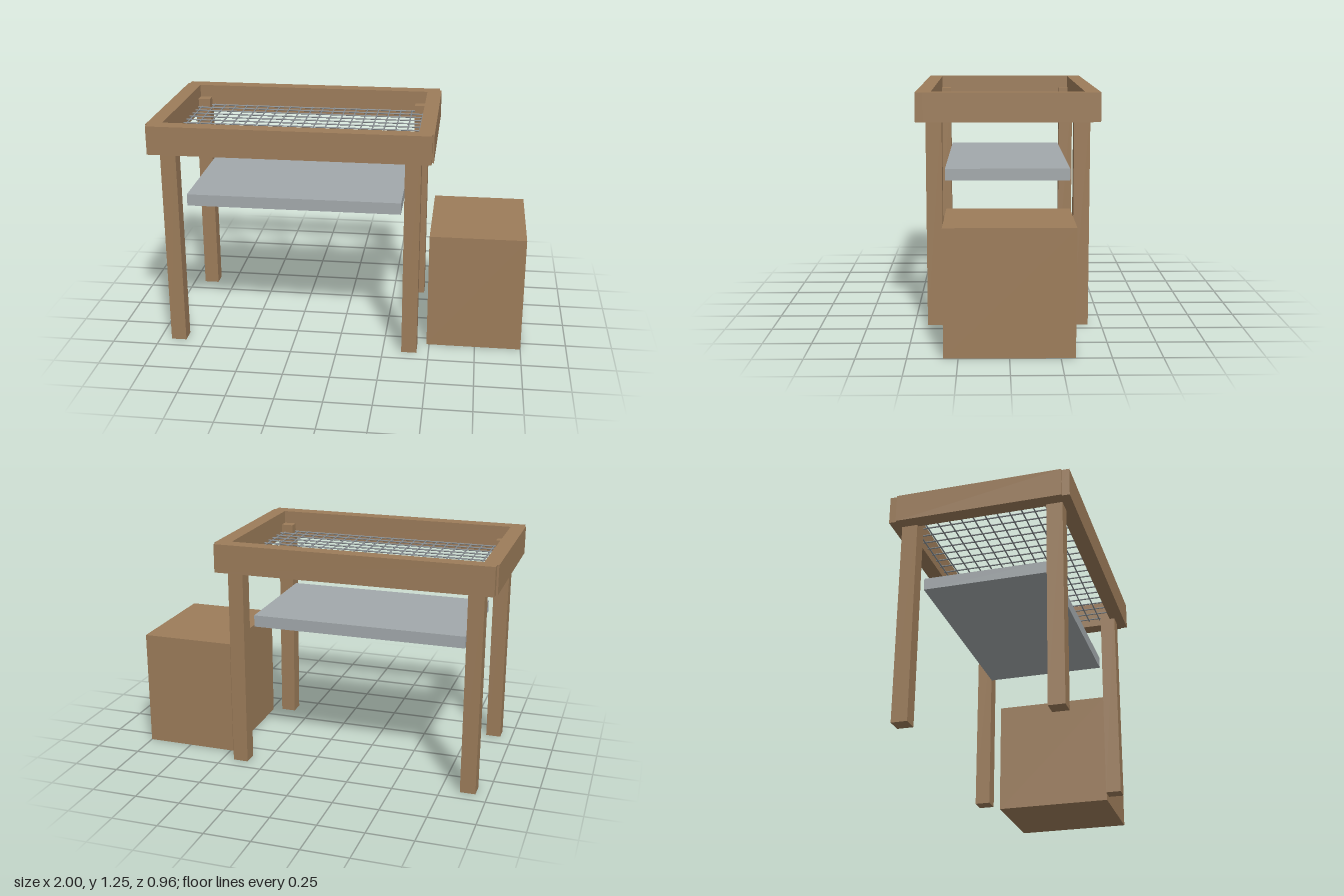
import * as THREE from 'three';

export function createModel() {
  const model = new THREE.Group();
  model.name = 'siftingTableWithStool';

  const material = (name, color) => {
    const m = new THREE.MeshStandardMaterial({ color });
    m.name = name;
    return m;
  };
  const wood = material('wood', 0x9c7c5a);
  const panelGrey = material('panelGrey', 0xa2a8ab);
  const wireGrey = material('wireGrey', 0x878d91);

  // Box given by its size, centre and parent
  const box = (name, mat, [w, h, d], [x, y, z], parent) => {
    const mesh = new THREE.Mesh(new THREE.BoxGeometry(w, h, d), mat);
    mesh.name = name;
    mesh.position.set(x, y, z);
    parent.add(mesh);
  };

  // Table, built around its own centre
  const table = new THREE.Group();
  table.name = 'table';
  table.position.x = -0.25;
  model.add(table);

  for (const s of [-1, 1]) {
    // Frame boards, the long ones overlapping the ends
    box('longFrameBoard', wood, [1.48, 0.153, 0.08], [0, 1.1735, s * 0.44], table);
    box('endFrameBoard', wood, [0.08, 0.153, 0.88], [s * 0.71, 1.1735, 0], table);
    // Legs rise a little inside the frame
    for (const t of [-1, 1]) {
      box('leg', wood, [0.083, 1.18, 0.084], [s * 0.644, 0.59, t * 0.387], table);
    }
  }

  // Wire mesh of thin round rods stretched across the frame
  const screen = new THREE.Group();
  screen.name = 'wireMesh';
  screen.position.y = 1.135;
  table.add(screen);
  const pitch = 0.065;
  const rod = (name, length, axis, x, z) => {
    const geometry = new THREE.CylinderGeometry(0.004, 0.004, length, 8);
    if (axis === 'x') geometry.rotateZ(Math.PI / 2);
    else geometry.rotateX(Math.PI / 2);
    const mesh = new THREE.Mesh(geometry, wireGrey);
    mesh.name = name;
    mesh.position.set(x, 0, z);
    screen.add(mesh);
  };
  for (let i = -10; i <= 10; i++) rod('crossWire', 0.8, 'z', i * pitch, 0);
  for (let j = -6; j <= 6; j++) rod('lengthWire', 1.34, 'x', 0, j * pitch);

  // Flat tray below the mesh
  box('tray', panelGrey, [1.16, 0.064, 0.67], [0, 0.8, 0], table);

  // Block stool beside the table
  box('stool', wood, [0.515, 0.645, 0.645], [0.7425, 0.3225, 0], model);

  return model;
}
